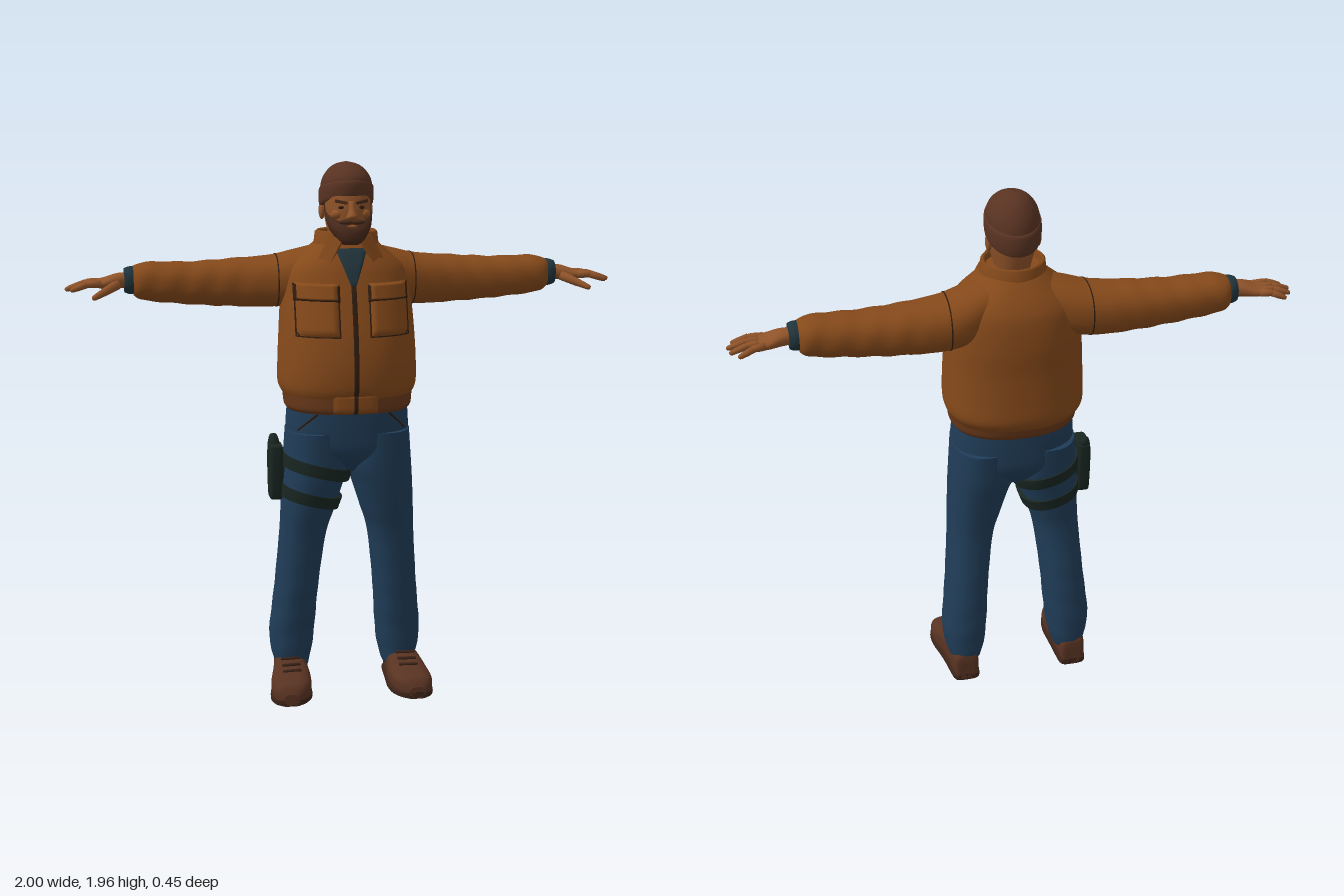
import * as THREE from 'three';

const mat = (name, color, extra = {}) => Object.assign(new THREE.MeshStandardMaterial({ color, ...extra }), { name });
const M = {
  jacket: mat('jacket tan', 0x85491a), trim: mat('waistband brown', 0x683819),
  jeans: mat('denim blue', 0x203d58), brown: mat('wool and boot brown', 0x593322),
  sole: mat('sole brown', 0x3c2318), skin: mat('skin', 0x8f5329),
  beard: mat('beard brown', 0x48291a), knit: mat('knit teal', 0x20343b),
  gear: mat('holster black green', 0x192622), seam: mat('seam dark', 0x2f1c10),
};

// Smoothly resample cross-section rows [s, a0, a1, b0, b1]
function smoothRows(rows, sub = 5) {
  const at = (i) => rows[Math.min(rows.length - 1, Math.max(0, i))];
  const out = [];
  for (let i = 0; i < rows.length - 1; i++) {
    for (let k = 0; k < sub; k++) {
      const t = k / sub;
      out.push(rows[i].map((p1, c) => {
        const p0 = at(i - 1)[c], p2 = at(i + 1)[c], p3 = at(i + 2)[c];
        return p1 + 0.5 * t * (p2 - p0 + t * (2 * p0 - 5 * p1 + 4 * p2 - p3 + t * (3 * (p1 - p2) + p3 - p0)));
      }));
    }
  }
  out.push(rows[rows.length - 1]);
  return out;
}

// Row at height s, linear between resampled rows
function rowAt(rows, s) {
  let i = 0;
  while (i < rows.length - 2 && rows[i + 1][0] < s) i++;
  const t = (s - rows[i][0]) / (rows[i + 1][0] - rows[i][0]);
  return rows[i].map((v, c) => (c ? v + t * (rows[i + 1][c] - v) : s));
}

const PLACE = { y: (s, a, b) => [a, s, b], x: (s, a, b) => [s, b, a], z: (s, a, b) => [b, a, s] };

// Closed skin over rows; a and b are (x,z) for axis y, (z,y) for axis x, (y,x) for axis z
function loft(axis, rows, { n = 2.3, seg = 40, crease = null, warp = null } = {}) {
  const pos = [], idx = [], N = rows.length;
  const push = (p) => { if (warp) p = warp(...p); pos.push(...p); };
  const ring = ([s, a0, a1, b0, b1]) => {
    for (let j = 0; j < seg; j++) {
      const t = (j / seg) * Math.PI * 2, c = Math.cos(t), d = Math.sin(t);
      const f = crease ? 1 + crease(s, t) : 1;
      const a = Math.sign(c) * Math.abs(c) ** (2 / n), b = Math.sign(d) * Math.abs(d) ** (2 / n);
      push(PLACE[axis](s, (a0 + a1) / 2 + f * a * (a1 - a0) / 2, (b0 + b1) / 2 + f * b * (b1 - b0) / 2));
    }
  };
  rows.forEach(ring);
  for (let i = 0; i < N - 1; i++) for (let j = 0; j < seg; j++) {
    const p = i * seg + j, q = i * seg + (j + 1) % seg;
    idx.push(p, p + seg, q, q, p + seg, q + seg);
  }
  [rows[0], rows[N - 1]].forEach((r, end) => {
    const o = pos.length / 3;
    ring(r);
    push(PLACE[axis](r[0], (r[1] + r[2]) / 2, (r[3] + r[4]) / 2));
    for (let j = 0; j < seg; j++) {
      const p = o + j, q = o + (j + 1) % seg;
      idx.push(o + seg, ...(end ? [q, p] : [p, q]));
    }
  });
  const g = new THREE.BufferGeometry();
  g.setAttribute('position', new THREE.Float32BufferAttribute(pos, 3));
  g.setIndex(idx);
  g.computeVertexNormals();
  return g;
}

// Thin belt hugging a lofted part between s0 and s1
function band(axis, rows, s0, s1, grow, opts) {
  const r = [s0, (s0 + s1) / 2, s1].map((s) => rowAt(rows, s).map((v, c) => (c ? v + (c % 2 ? -grow : grow) : v)));
  return loft(axis, r, opts);
}

// Rectangle or tapered panel draped on the front of a vertical loft
function drape(rows, x, y, w, h, lift, { taper = 0, n = 2.3 } = {}) {
  const g = new THREE.PlaneGeometry(w, h, 12, 12), p = g.attributes.position;
  for (let i = 0; i < p.count; i++) {
    const v = p.getY(i) / h + 0.5;
    const edge = Math.abs(p.getX(i)) > w * 0.49 || v < 0.01 || v > 0.99;
    const px = x + p.getX(i) * (1 - taper * (1 - v)), py = y + p.getY(i);
    const [, a0, a1, b0, b1] = rowAt(rows, py);
    const u = Math.min(1, Math.abs((2 * px - a0 - a1) / (a1 - a0)));
    p.setXYZ(i, px, py, (b0 + b1) / 2 + (b1 - b0) / 2 * (1 - u ** n) ** (1 / n) + (edge ? 0.002 : lift));
  }
  g.computeVertexNormals();
  return g;
}

function mirror(geo) {
  const g = geo.clone().scale(-1, 1, 1), a = g.index.array;
  for (let i = 0; i < a.length; i += 3) [a[i], a[i + 1]] = [a[i + 1], a[i]];
  return g;
}

// Tapered rounded rod between two points
function rod(p, q, r0, r1) {
  const a = new THREE.Vector3(...p), d = new THREE.Vector3(...q).sub(a), L = d.length();
  const prof = [[0, 0], [r0, 0], [(r0 + r1) / 2 * 1.05, L / 2], [r1, L - r1], [r1 * 0.7, L - r1 * 0.3], [0, L]];
  const g = new THREE.LatheGeometry(prof.map((v) => new THREE.Vector2(...v)), 10);
  g.applyQuaternion(new THREE.Quaternion().setFromUnitVectors(new THREE.Vector3(0, 1, 0), d.normalize()));
  return g.translate(a.x, a.y, a.z);
}
const ball = (x, y, z, rx, ry, rz) => new THREE.SphereGeometry(1, 16, 12).scale(rx, ry, rz).translate(x, y, z);
const box = (x, y, z, w, h, d) => new THREE.BoxGeometry(w, h, d).translate(x, y, z);
const sym = (rows) => smoothRows(rows.map(([y, h, z0, z1]) => [y, -h, h, z0, z1]));

export function createModel() {
  const root = new THREE.Group();
  root.name = 'standingMan';
  const add = (name, geo, m) => {
    const mesh = new THREE.Mesh(geo, m);
    mesh.name = name;
    root.add(mesh);
  };
  const pair = (name, geo, m) => { add(name + 'Left', geo, m); add(name + 'Right', mirror(geo), m); };

  // Jacket body and waistband
  const torso = sym([[1.13, .232, -.195, .205], [1.17, .25, -.219, .22], [1.25, .25, -.217, .222], [1.35, .245, -.212, .208],
    [1.45, .238, -.212, .182], [1.55, .225, -.2, .152], [1.6, .2, -.18, .135], [1.65, .14, -.145, .11], [1.69, .095, -.11, .085]]);
  add('jacketBody', loft('y', torso, { seg: 64 }), M.jacket);
  const hem = sym([[1.08, .22, -.165, .195], [1.095, .23, -.177, .206], [1.13, .234, -.185, .208], [1.155, .238, -.2, .208]]);
  add('waistband', loft('y', hem, { seg: 96, crease: (s, t) => .008 * Math.sin(48 * t) }), M.trim);
  add('waistbandFront', drape(hem, 0, 1.117, .16, .068, .006), M.jacket);
  add('zipperBottom', drape(hem, 0, 1.117, .016, .07, .009), M.seam);
  add('zipper', drape(torso, 0, 1.345, .018, .39, .007), M.seam);
  add('neckOpening', drape(torso, 0, 1.595, .115, .13, .007, { taper: .85 }), M.knit);
  pair('pocketSeam', drape(torso, .128, 1.44, .152, .17, .003), M.seam);
  pair('pocket', drape(torso, .128, 1.435, .142, .152, .013), M.jacket);
  pair('flapSeam', drape(torso, .128, 1.508, .156, .062, .015), M.seam);
  pair('pocketFlap', drape(torso, .128, 1.512, .15, .058, .02), M.jacket);

  // Standing collar, open at the front
  const collarProfile = [[.128, 1.63], [.116, 1.68], [.112, 1.715], [.104, 1.722], [.096, 1.715], [.09, 1.62]];
  const collar = new THREE.LatheGeometry(collarProfile.map((v) => new THREE.Vector2(...v)), 40, .5, Math.PI * 2 - 1);
  const collarMat = M.jacket;
  collarMat.side = THREE.DoubleSide;
  add('collar', collar.translate(0, -.005, -.008), collarMat);
  const lapel = new THREE.BoxGeometry(.05, .095, .014, 4, 4, 1);
  pair('collarPoint', lapel.rotateZ(.4).rotateX(-.3).rotateY(.5).translate(.073, 1.655, .1), M.jacket);
  add('turtleneck', loft('y', sym([[1.56, .085, -.07, .085], [1.63, .074, -.075, .09], [1.675, .068, -.075, .082], [1.69, .062, -.07, .075]])), M.knit);

  // Sleeves with soft folds, rows along x hold z then y
  const sleeve = smoothRows([[.08, -.14, .05, 1.5, 1.668], [.18, -.172, .05, 1.45, 1.643], [.27, -.18, .032, 1.437, 1.622],
    [.4, -.175, .012, 1.44, 1.612], [.55, -.165, .005, 1.45, 1.603], [.68, -.157, 0, 1.463, 1.605], [.735, -.15, -.008, 1.472, 1.6],
    [.758, -.135, -.022, 1.488, 1.592]], 8);
  const folds = (s, t) => (s > .27 ? .02 * Math.sin(s * 62 + 2.2 * Math.sin(t)) * Math.min(1, (s - .27) * 6) : 0);
  pair('sleeve', loft('x', sleeve, { crease: folds }), M.jacket);
  pair('armholeSeam', band('x', sleeve, .246, .25, .002), M.seam);
  pair('cuff', loft('x', smoothRows([[.745, -.125, -.028, 1.495, 1.588], [.77, -.127, -.026, 1.492, 1.59], [.79, -.12, -.032, 1.498, 1.584]])), M.knit);

  // Hands
  pair('palm', loft('x', smoothRows([[.78, -.107, -.045, 1.515, 1.57], [.82, -.115, -.036, 1.513, 1.566], [.86, -.125, -.028, 1.512, 1.553], [.89, -.127, -.032, 1.518, 1.547]])), M.skin);
  const fingers = [[-.117, -.138, .965], [-.092, -.102, .992], [-.066, -.066, 1], [-.041, -.03, .982]];
  for (const [z0, z1, tip] of fingers) {
    const mid = [(.88 + tip) / 2, 1.533, (z0 + z1) / 2];
    pair('fingerBase', rod([.872, 1.533, z0], mid, .0135, .012), M.skin);
    pair('fingerTip', rod([mid[0] - .01, 1.533, mid[2]], [tip, 1.512, z1], .0125, .009), M.skin);
  }
  pair('thumb', rod([.815, 1.53, -.045], [.905, 1.49, .03], .018, .01), M.skin);

  // Jeans
  add('hips', loft('y', sym([[.85, .1, -.09, .09], [.92, .21, -.142, .152], [1, .224, -.15, .166], [1.1, .218, -.15, .172]])), M.jeans);
  const leg = smoothRows([[.07, .148, .258, -.125, .03], [.1, .137, .268, -.135, .036], [.2, .12, .285, -.14, .046], [.4, .105, .266, -.125, .075],
    [.6, .08, .25, -.102, .1], [.7, .05, .245, -.106, .122], [.8, .018, .24, -.12, .142], [.88, -.008, .235, -.135, .152], [1, 0, .226, -.145, .16]], 8);
  const legFolds = (s, t) => .018 * Math.sin(s * 55 + 2 * Math.cos(t + 1)) * Math.max(0, 1 - s / .65);
  pair('trouserLeg', loft('y', leg, { crease: legFolds }), M.jeans);
  pair('hipPocketSeam', rod([.13, 1.075, .152], [.195, 1.01, .102], .004, .003), M.seam);

  // Boots, rows along z hold y then x
  const boot = smoothRows([[-.14, 0, .085, .18, .24], [-.125, 0, .125, .163, .258], [-.03, 0, .138, .155, .272], [.03, 0, .128, .15, .283],
    [.08, 0, .104, .147, .295], [.14, 0, .088, .155, .3], [.18, 0, .074, .178, .288], [.2, 0, .045, .205, .263]]);
  pair('boot', loft('z', boot, { n: 2.8 }), M.brown);
  const sole = boot.map(([z, , , a, b]) => [z, 0, .026, a - .003, b + .003]);
  pair('sole', loft('z', sole, { n: 5 }), M.sole);
  for (const [y, z] of [[.127, .035], [.113, .065], [.1, .095]]) pair('lace', rod([.185, y, z], [.255, y, z + .005], .006, .005), M.sole);

  // Thigh holster on the right leg
  const tilt = (x, y, z) => [x, y - .25 * (x + .13), z];
  const rightLeg = leg.map(([y, a, b, c, d]) => [y, -b, -a, c, d]);
  for (const y of [.865, .75]) add('thighStrap', band('y', rightLeg, y - .023, y + .023, .006, { warp: tilt }), M.gear);
  add('holster', loft('y', smoothRows([[.74, -.284, -.243, -.035, .035], [.76, -.288, -.24, -.045, .045], [.87, -.29, -.238, -.05, .055], [.94, -.288, -.24, -.05, .055]]), { n: 5 }), M.gear);
  add('gripHandle', rod([-.266, .92, -.01], [-.266, .972, -.045], .021, .018), M.gear);
  add('holsterMount', box(-.237, .86, 0, .03, .08, .08), M.gear);

  // Head and face
  add('head', loft('y', sym([[1.64, .058, -.07, .055], [1.69, .062, -.078, .085], [1.72, .07, -.085, .112], [1.77, .08, -.095, .118], [1.81, .083, -.1, .116], [1.86, .083, -.1, .105], [1.9, .06, -.07, .08]])), M.skin);
  add('beard', loft('y', sym([[1.672, .03, .05, .118], [1.685, .048, .03, .135], [1.715, .067, .012, .138], [1.738, .077, .005, .128], [1.765, .083, -.005, .1], [1.79, .085, 0, .055], [1.83, .085, .005, .04]])), M.beard);
  pair('moustache', ball(.02, 1.753, .12, .026, .009, .014).rotateZ(0), M.beard);
  add('lip', ball(0, 1.738, .128, .018, .005, .006), M.skin);
  add('nose', loft('y', sym([[1.758, .012, .1, .132], [1.766, .021, .1, .146], [1.776, .019, .1, .152], [1.795, .012, .1, .14], [1.825, .011, .1, .122]]), { seg: 16 }), M.skin);
  pair('cheek', ball(.046, 1.778, .092, .024, .018, .018), M.skin);
  pair('eye', ball(.034, 1.803, .108, .013, .006, .006), M.seam);
  pair('eyebrow', box(0, 0, 0, .044, .01, .014).rotateZ(.18).rotateY(.3).translate(.036, 1.822, .109), M.beard);
  pair('ear', ball(.086, 1.785, -.015, .012, .032, .02), M.skin);

  // Knitted cap, lower at the back
  const slope = (x, y, z) => [x, y + .33 * z * Math.min(1, Math.max(0, (1.957 - y) / .12)), z];
  add('capCrown', loft('y', sym([[1.82, .09, -.115, .105], [1.87, .092, -.116, .106], [1.905, .083, -.103, .093], [1.935, .06, -.075, .066], [1.95, .034, -.045, .036], [1.957, .003, -.008, .002]]), { n: 2, warp: slope }), M.brown);
  add('capBrim', loft('y', sym([[1.803, .088, -.113, .104], [1.809, .095, -.122, .112], [1.84, .098, -.126, .115], [1.866, .096, -.123, .112], [1.872, .088, -.113, .103]]), { n: 2, warp: slope }), M.brown);
  return root;
}
